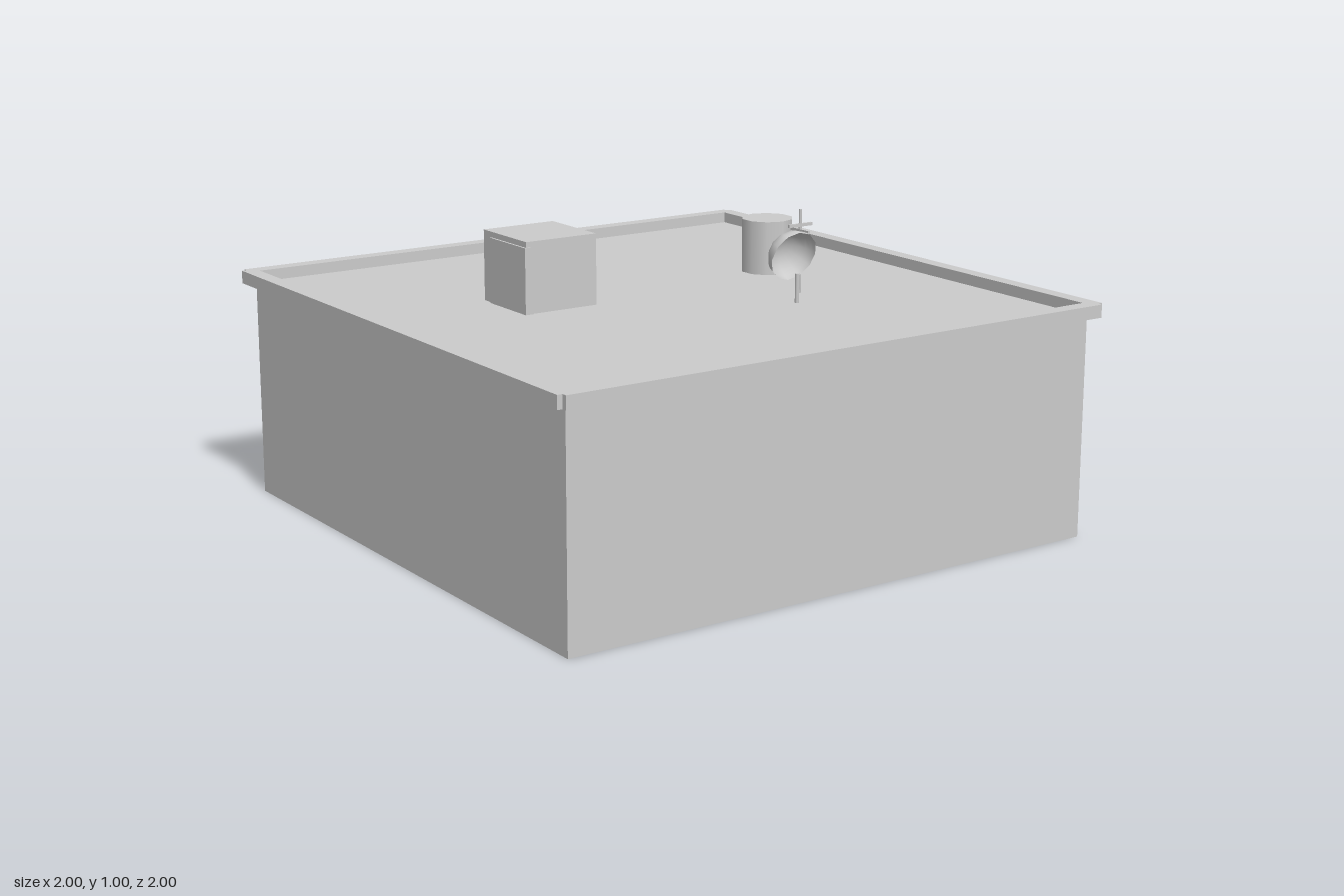
import * as THREE from 'three';

const ROOF = 0.725;

export function createModel() {
  const model = new THREE.Group();
  model.name = 'flatRoofBuilding';
  const grey = new THREE.MeshStandardMaterial({ color: 0xcccccc });
  const thin = new THREE.MeshStandardMaterial({ color: 0xcccccc, side: THREE.DoubleSide });

  const add = (name, geometry, x, y, z, parent = model, material = grey) => {
    const mesh = new THREE.Mesh(geometry, material);
    mesh.name = name;
    mesh.position.set(x, y, z);
    parent.add(mesh);
    return mesh;
  };
  // Box given by its lower and upper corners
  const block = (name, [x0, y0, z0], [x1, y1, z1], parent) =>
    add(name, new THREE.BoxGeometry(x1 - x0, y1 - y0, z1 - z0),
      (x0 + x1) / 2, (y0 + y1) / 2, (z0 + z1) / 2, parent);

  // Main volume, its top is the roof deck
  block('walls', [-0.96, 0, -0.96], [0.96, ROOF, 0.96]);

  // Parapet: four rails leaving a small notch at each corner
  const parapet = new THREE.Group();
  parapet.name = 'parapet';
  model.add(parapet);
  for (const s of [-1, 1]) {
    add('sideRail', new THREE.BoxGeometry(0.05, 0.042, 1.966), s * 0.975, 0.741, 0, parapet);
    add('endRail', new THREE.BoxGeometry(1.966, 0.042, 0.05), 0, 0.741, s * 0.975, parapet);
  }

  // Stair house with a door panel on its right side
  block('stairHouse', [-0.48, ROOF, -0.283], [-0.222, 0.955, -0.025]);
  block('door', [-0.487, ROOF, -0.235], [-0.46, 0.937, -0.02]);

  // Water tank
  add('waterTank', new THREE.CylinderGeometry(0.088, 0.088, 0.905 - ROOF, 10),
    0.55, (0.905 + ROOF) / 2, -0.155);

  // Dish: open bowl facing front, tipped slightly down, on a short post
  const bowl = new THREE.SphereGeometry(0.086, 12, 6, 0, Math.PI * 2, 0, Math.PI / 2);
  bowl.scale(1, 0.88, 1);
  const dish = add('dish', bowl, 0.32, 0.872, 0.293, model, thin);
  dish.rotation.x = -Math.PI / 2 + THREE.MathUtils.degToRad(19.5);
  add('dishPost', new THREE.CylinderGeometry(0.007, 0.007, 0.82 - ROOF, 8),
    0.32, (0.82 + ROOF) / 2, 0.312);

  // Aerial with two crossed bars
  add('aerialMast', new THREE.CylinderGeometry(0.005, 0.005, 1 - ROOF, 8),
    0.42, (1 + ROOF) / 2, 0.195);
  add('aerialBarX', new THREE.BoxGeometry(0.092, 0.01, 0.008), 0.42, 0.948, 0.195);
  add('aerialBarZ', new THREE.BoxGeometry(0.008, 0.01, 0.092), 0.42, 0.93, 0.195);

  return model;
}
